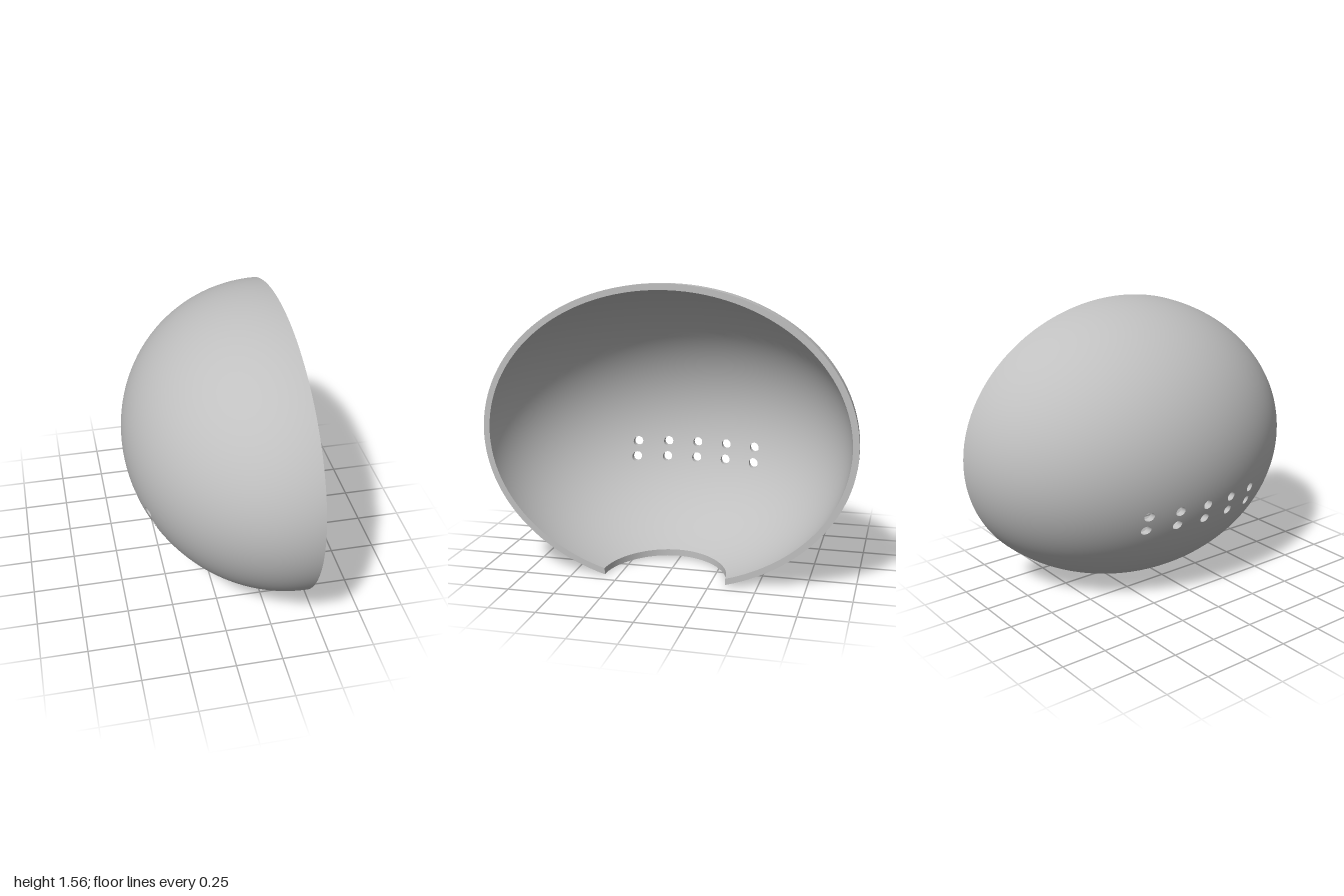
import * as THREE from 'three';

// Half-ellipsoid shell open toward +x: semi-axes (x, y, z) of both skins
const CENTER = new THREE.Vector3(0.427, 0.76, 0);
const OUTER = new THREE.Vector3(0.854, 0.805, 1);
const INNER = new THREE.Vector3(0.82, 0.772, 0.967);

// Vent block: 5 x 2 rectangular cells, each pierced by a round hole
const COLS = 5, ROWS = 2, CELL_Z = 0.175, CELL_Y = 0.086;
const VENT_Y = 0.524, HOLE_R = 0.027;
const SEG_Z = 16, SEG_Y = 8;                    // segments along each cell side
const HOLE_SEGS = 2 * (SEG_Z + SEG_Y);

// Shell outside the vent block: closed loop of notch arc plus rim
const LOOP = 2 * (COLS * SEG_Z + ROWS * SEG_Y);
const NOTCH_SEGS = 48, NOTCH_R = 0.33, RINGS = 32;

// Lift a (y, z) position onto the unit hemisphere of a skin
function lift(y, z, axes) {
  const uy = (y - CENTER.y) / axes.y, uz = z / axes.z;
  return new THREE.Vector3(-Math.sqrt(Math.max(0, 1 - uy * uy - uz * uz)), uy, uz);
}

const place = (u, axes) => u.clone().multiply(axes).add(CENTER);

// Point n of a rectangle's outline, from its lower -z corner toward +z
function outline(n, nz, ny, width, height) {
  const w = width / 2, h = height / 2;
  n %= 2 * (nz + ny);
  if (n < nz) return [-w + width * n / nz, -h];
  n -= nz;
  if (n < ny) return [w, -h + height * n / ny];
  n -= ny;
  if (n < nz) return [w - width * n / nz, h];
  n -= nz;
  return [-w, h - height * n / ny];
}

// Outer boundary: vertical round notch at the bottom, then the open rim
function boundary(s, axes) {
  if (s <= NOTCH_SEGS) {
    const a = Math.PI * (1 - s / NOTCH_SEGS);
    const ux = -NOTCH_R * Math.sin(a) / axes.x, uz = NOTCH_R * Math.cos(a) / axes.z;
    return new THREE.Vector3(ux, -Math.sqrt(1 - ux * ux - uz * uz), uz);
  }
  const start = Math.asin(NOTCH_R / axes.z);
  const t = start + (2 * Math.PI - 2 * start) * (s - NOTCH_SEGS) / (LOOP - NOTCH_SEGS);
  return new THREE.Vector3(0, -Math.cos(t), Math.sin(t));
}

// Shell field: sweep from the vent block's outline to the boundary
function shellPoint(s, j, axes) {
  const shift = (COLS * SEG_Z - NOTCH_SEGS) / 2;
  const [z, y] = outline(s + shift, COLS * SEG_Z, ROWS * SEG_Y, COLS * CELL_Z, ROWS * CELL_Y);
  const from = lift(VENT_Y + y, z, axes), to = boundary(s, axes);
  const angle = from.angleTo(to), t = j / RINGS;
  return from.multiplyScalar(Math.sin((1 - t) * angle) / Math.sin(angle))
    .addScaledVector(to, Math.sin(t * angle) / Math.sin(angle));
}

// Point on one vent cell, from hole edge (t = 0) to cell edge (t = 1)
function cellPoint(col, row, i, t, axes) {
  const a = -Math.PI * 5 / 6 + 2 * Math.PI * i / HOLE_SEGS;
  const [ez, ey] = outline(i, SEG_Z, SEG_Y, CELL_Z, CELL_Y);
  const z = (col - (COLS - 1) / 2) * CELL_Z + THREE.MathUtils.lerp(HOLE_R * Math.cos(a), ez, t);
  const y = VENT_Y + (row - (ROWS - 1) / 2) * CELL_Y + THREE.MathUtils.lerp(HOLE_R * Math.sin(a), ey, t);
  return lift(y, z, axes);
}

// Grid of points; sample(i, j) returns { p, n } with an optional normal
function grid(ni, nj, sample, flip) {
  const pos = [], nor = [], index = [];
  for (let i = 0; i <= ni; i++) {
    for (let j = 0; j <= nj; j++) {
      const { p, n } = sample(i, j);
      pos.push(p.x, p.y, p.z);
      if (n) nor.push(n.x, n.y, n.z);
      if (i === ni || j === nj) continue;
      const a = i * (nj + 1) + j, b = a + 1, c = a + nj + 1, d = c + 1;
      if (flip) index.push(a, c, b, b, c, d);
      else index.push(a, b, c, b, d, c);
    }
  }
  const geo = new THREE.BufferGeometry();
  geo.setAttribute('position', new THREE.Float32BufferAttribute(pos, 3));
  geo.setIndex(index);
  if (nor.length) geo.setAttribute('normal', new THREE.Float32BufferAttribute(nor, 3));
  else geo.computeVertexNormals();
  return geo;
}

// Smooth ellipsoid skin with exact normals
function skin(ni, nj, unit, axes) {
  const inside = axes === INNER;
  return grid(ni, nj, (i, j) => {
    const u = unit(i, j, axes);
    const n = u.clone().divide(axes).normalize().multiplyScalar(inside ? -1 : 1);
    return { p: place(u, axes), n };
  }, inside);
}

// Thickness wall joining the outer skin to the inner one
function wall(count, unit, flip) {
  return grid(count, 1, (i, j) => {
    const axes = j ? INNER : OUTER;
    return { p: place(unit(i, axes), axes) };
  }, flip);
}

export function createModel() {
  const group = new THREE.Group();
  group.name = 'domeShell';
  const grey = new THREE.MeshStandardMaterial({ color: 0xc0c0c0 });
  grey.name = 'lightGrey';

  const add = (name, geo) => {
    const mesh = new THREE.Mesh(geo, grey);
    mesh.name = name;
    group.add(mesh);
  };

  // Main skins
  add('outerSkin', skin(LOOP, RINGS, shellPoint, OUTER));
  add('innerSkin', skin(LOOP, RINGS, shellPoint, INNER));

  // Flat rim and notch edge
  add('notchEdge', wall(NOTCH_SEGS, boundary, false));
  add('rim', wall(LOOP - NOTCH_SEGS, (i, axes) => (
    i === 0 ? boundary(NOTCH_SEGS, axes) : boundary(NOTCH_SEGS + i, axes)
  ), false));

  // Vent holes
  for (let col = 0; col < COLS; col++) {
    for (let row = 0; row < ROWS; row++) {
      const unit = (i, j, axes) => cellPoint(col, row, i, j / 3, axes);
      add('ventOuterSkin', skin(HOLE_SEGS, 3, unit, OUTER));
      add('ventInnerSkin', skin(HOLE_SEGS, 3, unit, INNER));
      add('ventHoleWall', wall(HOLE_SEGS, (i, axes) => unit(i, 0, axes), true));
    }
  }
  return group;
}
